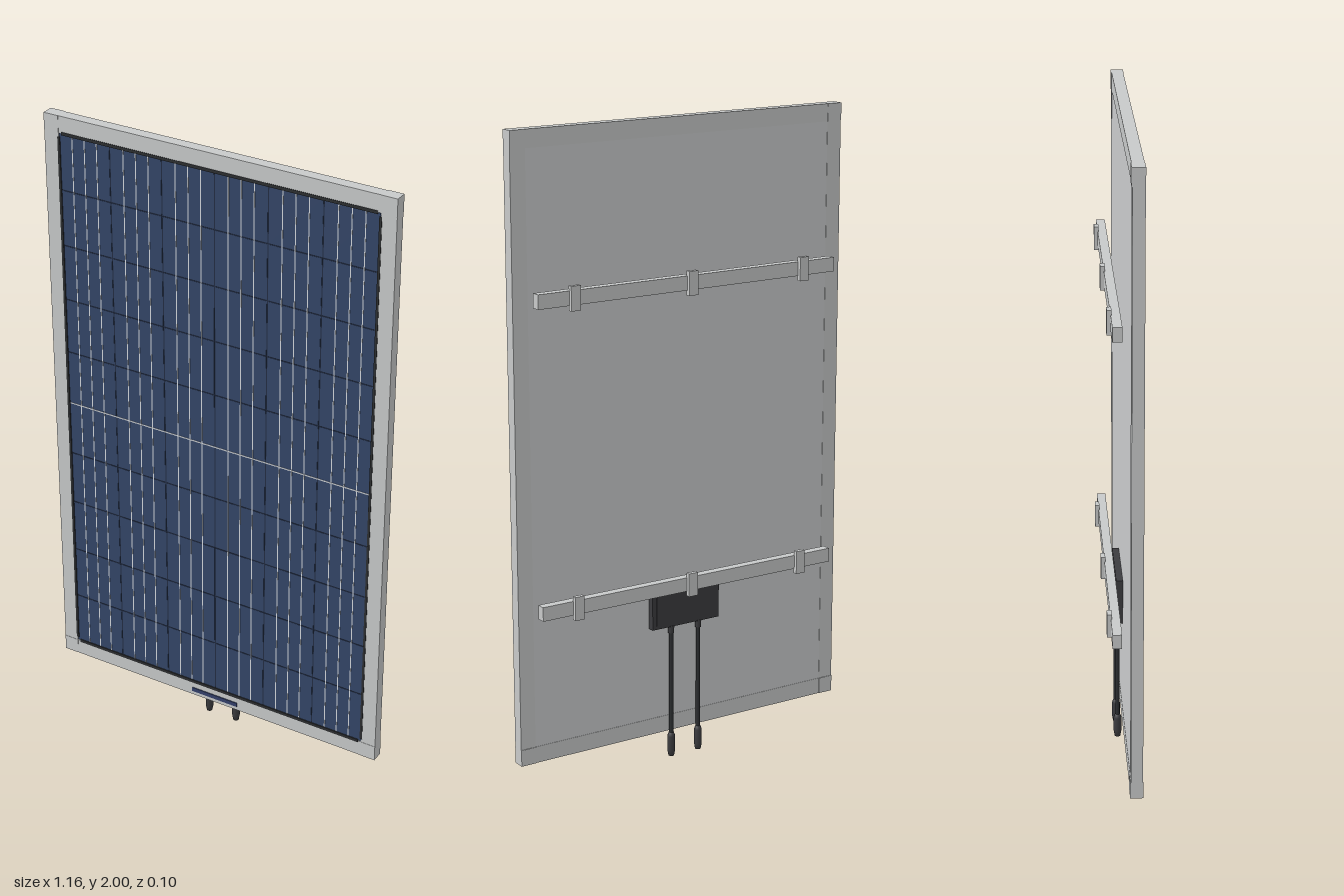
import * as THREE from 'three';

export function createModel() {
  const root = new THREE.Group();
  root.name = 'solarPanel';

  const mat = (name, color) => {
    const m = new THREE.MeshStandardMaterial({ color });
    m.name = name;
    return m;
  };
  const aluminium = mat('aluminium', 0xc8caca);
  const backWhite = mat('backSheetGrey', 0xcbcdce);
  const cellBlue = mat('cellBlue', 0x344668);
  const gapDark = mat('cellGapDark', 0x222c42);
  const ribbonSilver = mat('ribbonSilver', 0xd4d8dc);
  const rubber = mat('rubberBlack', 0x2c2e30);
  const plastic = mat('plasticCharcoal', 0x3c3c3f);
  const labelBlue = mat('labelBlue', 0x33406b);

  const group = (name) => {
    const g = new THREE.Group();
    g.name = name;
    root.add(g);
    return g;
  };
  // Box given by its min and max on each axis
  const box = (parent, name, m, [x0, x1], [y0, y1], [z0, z1]) => {
    const mesh = new THREE.Mesh(new THREE.BoxGeometry(x1 - x0, y1 - y0, z1 - z0), m);
    mesh.position.set((x0 + x1) / 2, (y0 + y1) / 2, (z0 + z1) / 2);
    mesh.name = name;
    parent.add(mesh);
    return mesh;
  };

  const W = 0.58, IN = 0.53;            // outer and inner half widths
  const Y0 = 0.08, Y1 = 2.0;            // outer height range
  const B0 = 0.132, B1 = 1.946;         // opening height range

  // Frame beams with slightly proud corner pieces
  const frame = group('frame');
  const depth = [0.009, 0.045];
  box(frame, 'topBeam', aluminium, [-IN, IN], [B1, Y1], depth);
  box(frame, 'bottomBeam', aluminium, [-IN, IN], [Y0, B0], depth);
  for (const s of [-1, 1]) {
    const side = s < 0 ? [-W, -IN] : [IN, W];
    box(frame, 'sideBeam', aluminium, side, [B0, B1], depth);
    box(frame, 'cornerPiece', aluminium, side, [B1, Y1], [0.007, 0.0458]);
    box(frame, 'cornerPiece', aluminium, side, [Y0, B0], [0.007, 0.0458]);
  }

  // Laminate: rear sheet and dark layer behind the cells
  const laminate = group('laminate');
  box(laminate, 'backSheet', backWhite, [-IN, IN], [B0, B1], [0.01, 0.03]);
  box(laminate, 'cellBacking', gapDark, [-IN, IN], [B0, B1], [0.03, 0.042]);

  // Cell grid, six columns by ten rows
  const cells = group('cells');
  const cols = 6, rows = 10, gap = 0.002;
  const cw = (2 * IN) / cols, ch = (B1 - B0) / rows;
  for (let c = 0; c < cols; c++) {
    const x = -IN + c * cw;
    for (let r = 0; r < rows; r++) {
      const y = B0 + r * ch;
      box(cells, 'cell', cellBlue, [x + gap, x + cw - gap], [y + gap, y + ch - gap], [0.04, 0.0432]);
    }
    // Three silver ribbons down each column
    for (const k of [-1, 0, 1]) {
      const bx = x + cw / 2 + k * 0.0425;
      box(cells, 'ribbon', ribbonSilver, [bx - 0.0016, bx + 0.0016], [B0 + 0.006, B1 - 0.006], [0.043, 0.0439]);
    }
  }
  const mid = (B0 + B1) / 2;
  box(cells, 'middleRibbon', ribbonSilver, [-IN + 0.005, IN - 0.005], [mid - 0.002, mid + 0.002], [0.043, 0.0441]);

  // Rubber gasket strips around the opening
  const gasket = group('gasket');
  for (const y of [B0, B1]) box(gasket, 'gasketStrip', rubber, [-0.52, 0.52], [y - 0.005, y + 0.005], [0.04, 0.0464]);
  for (const x of [-IN, IN]) box(gasket, 'gasketStrip', rubber, [x - 0.004, x + 0.004], [B0 + 0.012, B1 - 0.012], [0.04, 0.0464]);

  // Small plate on the lower beam
  box(root, 'frontPlate', labelBlue, [-0.085, 0.082], [0.094, 0.108], [0.044, 0.048]);

  // Rear mounting rails with clamps
  for (const y of [1.511, 0.569]) {
    const rail = group('mountingRail');
    box(rail, 'rail', aluminium, [-0.525, 0.525], [y - 0.022, y + 0.022], [-0.042, -0.014]);
    for (const x of [-0.405, 0, 0.405]) {
      box(rail, 'clamp', aluminium, [x - 0.016, x + 0.016], [y - 0.037, y + 0.037], [-0.053, -0.039]);
    }
  }

  // Junction box with raised lid
  const junction = group('junctionBox');
  box(junction, 'housing', plastic, [-0.122, 0.122], [0.43, 0.575], [-0.011, 0.011]);
  box(junction, 'lid', plastic, [-0.108, 0.108], [0.442, 0.563], [-0.0138, -0.01]);

  // Cables with tapered plugs
  for (const x of [-0.05, 0.05]) {
    const cable = group('cable');
    cable.position.set(x, 0, -0.003);
    const wire = new THREE.Mesh(new THREE.CylinderGeometry(0.007, 0.007, 0.38, 16), rubber);
    wire.position.y = 0.255;
    wire.name = 'wire';
    const profile = [[0, 0], [0.009, 0], [0.0125, 0.02], [0.0125, 0.065], [0.008, 0.078], [0, 0.078]];
    const plug = new THREE.Mesh(
      new THREE.LatheGeometry(profile.map(([r, y]) => new THREE.Vector2(r, y)), 16), plastic);
    plug.name = 'plug';
    const gland = new THREE.Mesh(new THREE.CylinderGeometry(0.0105, 0.009, 0.025, 16), plastic);
    gland.position.y = 0.42;
    gland.name = 'cableGland';
    cable.add(wire, plug, gland);
  }

  return root;
}
